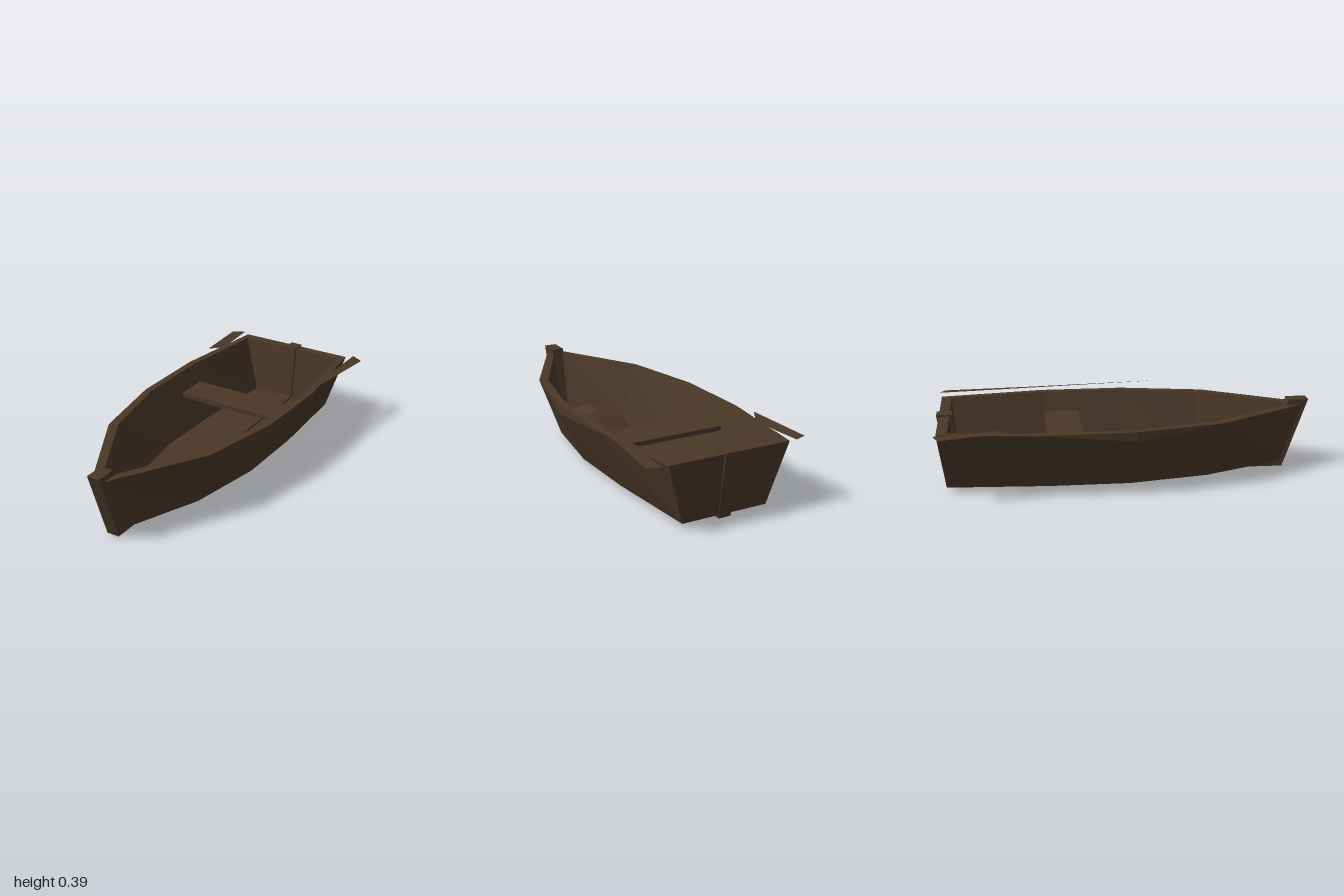
import * as THREE from 'three';
import { ConvexGeometry } from 'three/addons/geometries/ConvexGeometry.js';

const wood = new THREE.MeshStandardMaterial({ color: 0x4a3827, flatShading: true, side: THREE.DoubleSide });
wood.name = 'dark wood';
const cloth = new THREE.MeshStandardMaterial({ color: 0x4f3928, flatShading: true, side: THREE.DoubleSide });
cloth.name = 'brown sackcloth';

const CX = -0.006; // the hull's centre line
const FLOOR = 0.045;
const RIM = 0.35;

// Flat-shaded geometry from polygons, each fanned from its first corner
function fromPolygons(polys) {
  const pos = [];
  for (const p of polys) {
    for (let i = 1; i < p.length - 1; i++) pos.push(...p[0], ...p[i], ...p[i + 1]);
  }
  const g = new THREE.BufferGeometry();
  g.setAttribute('position', new THREE.Float32BufferAttribute(pos, 3));
  g.computeVertexNormals();
  return g;
}

// Hull stations from stern to bow, each row is half width, height, z:
// outer bottom, outer strake, outer rim, inner rim, inner floor
const stations = [
  [[0.235, 0.03, -0.95], [0.333, 0.345, -0.985], [0.334, RIM, -0.985], [0.305, RIM, -0.93], [0.215, FLOOR, -0.9]],
  [[0.272, 0.03, -0.42], [0.402, 0.342, -0.43], [0.403, RIM, -0.43], [0.365, RIM, -0.42], [0.25, FLOOR, -0.42]],
  [[0.272, 0.028, 0.0], [0.4, 0.3, 0.02], [0.398, RIM, 0.02], [0.36, RIM, 0.02], [0.253, FLOOR, 0.0]],
  [[0.205, 0.03, 0.42], [0.31, 0.342, 0.47], [0.311, RIM, 0.47], [0.27, RIM, 0.44], [0.19, FLOOR, 0.4]],
  [[0.03, 0.03, 0.86], [0.03, 0.345, 0.97], [0.03, RIM, 0.97], [0.025, RIM, 0.89], [0.02, FLOOR, 0.8]],
];

function hullGeometry() {
  const loops = stations.map((s) => [
    ...s.map(([w, y, z]) => [CX + w, y, z]),
    ...s.slice().reverse().map(([w, y, z]) => [CX - w, y, z]),
  ]);
  const polys = [];
  for (let i = 0; i < loops.length - 1; i++) {
    const a = loops[i], b = loops[i + 1];
    for (let j = 0; j < 10; j++) {
      const k = (j + 1) % 10;
      polys.push([a[j], a[k], b[k], b[j]]);
    }
  }
  // Transom and bow: outer face, rim and inner face
  const cap = (l, flip) => {
    for (const face of [[0, 1, 2, 7, 8, 9], [2, 3, 6, 7], [3, 4, 5, 6]]) {
      const p = face.map((n) => l[n]);
      polys.push(flip ? p.reverse() : p);
    }
  };
  cap(loops[0], true);
  cap(loops[loops.length - 1], false);
  return fromPolygons(polys);
}

// Timber cut to a z-y outline, centred across the boat
function timber(points, width) {
  const shape = new THREE.Shape(points.map(([z, y]) => new THREE.Vector2(z, y)));
  const g = new THREE.ExtrudeGeometry(shape, { depth: width, bevelEnabled: false });
  g.translate(0, 0, -width / 2);
  g.rotateY(-Math.PI / 2);
  g.translate(CX, 0, 0);
  return g;
}

export function createModel() {
  const group = new THREE.Group();
  const add = (name, geometry, material = wood) => {
    const mesh = new THREE.Mesh(geometry, material);
    mesh.name = name;
    group.add(mesh);
    return mesh;
  };

  add('hull', hullGeometry());

  // Backbone timbers
  add('stem', timber([[0.87, 0], [1, 0.38], [0.89, 0.38], [0.8, 0.04], [0.8, 0.003]], 0.068));
  add('sternPost', timber([[-0.95, 0.012], [-0.9, 0.012], [-0.885, 0.05], [-0.915, 0.358], [-0.998, 0.358]], 0.068));
  add('keel', timber([[-0.95, 0.012], [0.87, 0], [0.86, 0.032], [-0.95, 0.032]], 0.068));
  add('keelson', timber([[-0.9, 0.04], [0.3, 0.04], [0.3, 0.057], [-0.9, 0.057]], 0.068));

  // Bench across the hull
  const seat = add('seat', new THREE.BoxGeometry(0.655, 0.025, 0.19));
  seat.position.set(CX, 0.235, -0.325);

  // Oars lying over the rim, one of them broken short
  add('leftOar', fromPolygons([
    [[0.37, 0.36, -1], [0.388, 0.388, 0.22], [0.401, 0.37, -0.5], [0.435, 0.354, -0.97]],
  ]));
  add('rightOar', fromPolygons([
    [[-0.44, 0.353, -0.97], [-0.395, 0.373, -0.61], [-0.345, 0.362, -0.7], [-0.36, 0.354, -0.85], [-0.372, 0.355, -1]],
  ]));

  // Slumped sack in the bow: base outline and a faceted crown
  const base = [[-0.18, 0.3], [-0.14, 0.28], [0.04, 0.28], [0.19, 0.36], [0.16, 0.45], [0.09, 0.61], [0, 0.62], [-0.1, 0.54], [-0.18, 0.46]];
  const crown = [[-0.15, 0.09, 0.33], [-0.02, 0.14, 0.37], [0.12, 0.12, 0.38], [0.01, 0.15, 0.49], [-0.07, 0.13, 0.5], [0.08, 0.1, 0.55]];
  add('sack', new ConvexGeometry([
    ...base.map(([x, z]) => new THREE.Vector3(x, FLOOR, z)),
    ...crown.map((p) => new THREE.Vector3(...p)),
  ]), cloth);

  return group;
}
